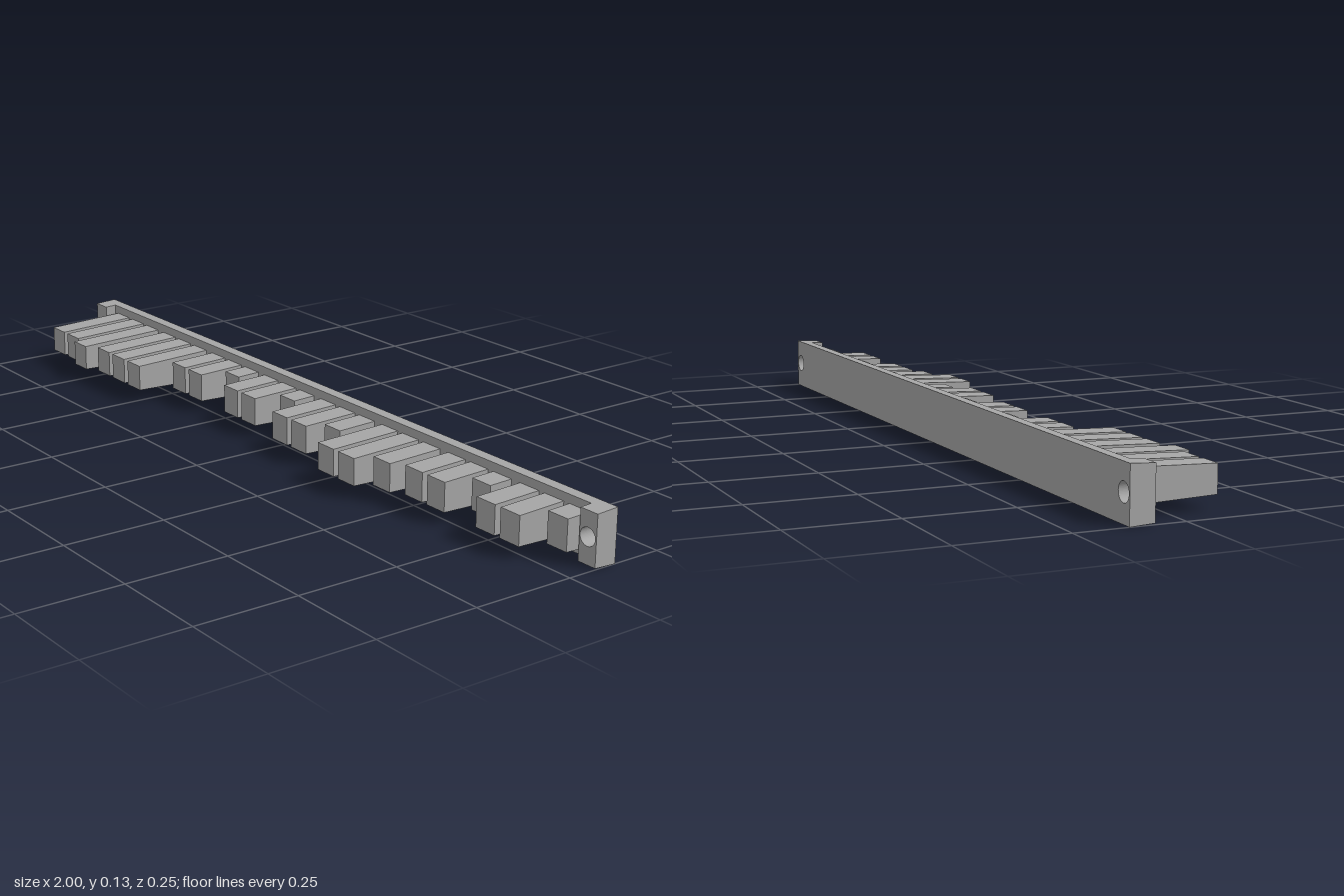
import * as THREE from 'three';

const MID = 0.063; // height of the centre line
const BACK = -0.127, FRONT = -0.1;

// Shrinks a geometry's height about the centre line, by a rule along z
function draft(geo, halfScale) {
  const p = geo.attributes.position;
  for (let i = 0; i < p.count; i++) {
    p.setY(i, MID + (p.getY(i) - MID) * halfScale(p.getZ(i)));
  }
  geo.computeVertexNormals();
  return geo;
}

// Rectangle with round screw holes, extruded forward from z0 to z1
function plate(x0, x1, holes, z0, z1) {
  const s = new THREE.Shape();
  s.moveTo(x0, 0).lineTo(x1, 0).lineTo(x1, 2 * MID).lineTo(x0, 2 * MID).closePath();
  for (const x of holes) {
    s.holes.push(new THREE.Path().absarc(x, 0.065, 0.022, 0, Math.PI * 2, true));
  }
  const geo = new THREE.ExtrudeGeometry(s, { depth: z1 - z0, bevelEnabled: false, curveSegments: 24 });
  geo.translate(0, 0, z0);
  return draft(geo, z => 1 - 0.85 * (z - BACK));
}

export function createModel() {
  const model = new THREE.Group();
  model.name = 'toothedBar';
  const grey = new THREE.MeshStandardMaterial({ color: 0xa6a6a6 });
  grey.name = 'grey';

  const add = (geo, name) => {
    const m = new THREE.Mesh(geo, grey);
    m.name = name;
    model.add(m);
  };

  // Long backing bar and the two raised end blocks
  add(plate(-1, 1, [-0.974, 0.974], BACK, FRONT), 'backBar');
  add(plate(-1, -0.95, [-0.974], FRONT, -0.07), 'rightEndBlock');
  add(plate(0.95, 1, [0.974], FRONT, -0.07), 'leftEndBlock');

  // Teeth in eight groups of three; each number is a length step
  const steps = [
    [7, 7, 8], [7, 7, 7], [3, 3, 0], [3, 3, 0],
    [4, 4, 2], [6, 6, 4], [3, 3, 0], [3, 3, 0],
  ];
  steps.forEach((group, g) => group.forEach((n, i) => {
    const tip = -0.04 + n * 0.021;
    const geo = new THREE.BoxGeometry(0.059, 0.078, tip - FRONT).toNonIndexed();
    geo.translate(-0.906 + g * 0.2386 + i * 0.076, 0.065, (tip + FRONT) / 2);
    add(draft(geo, z => 1 - 0.85 * (z - FRONT)), `tooth${g * 3 + i + 1}`);
  }));
  return model;
}
